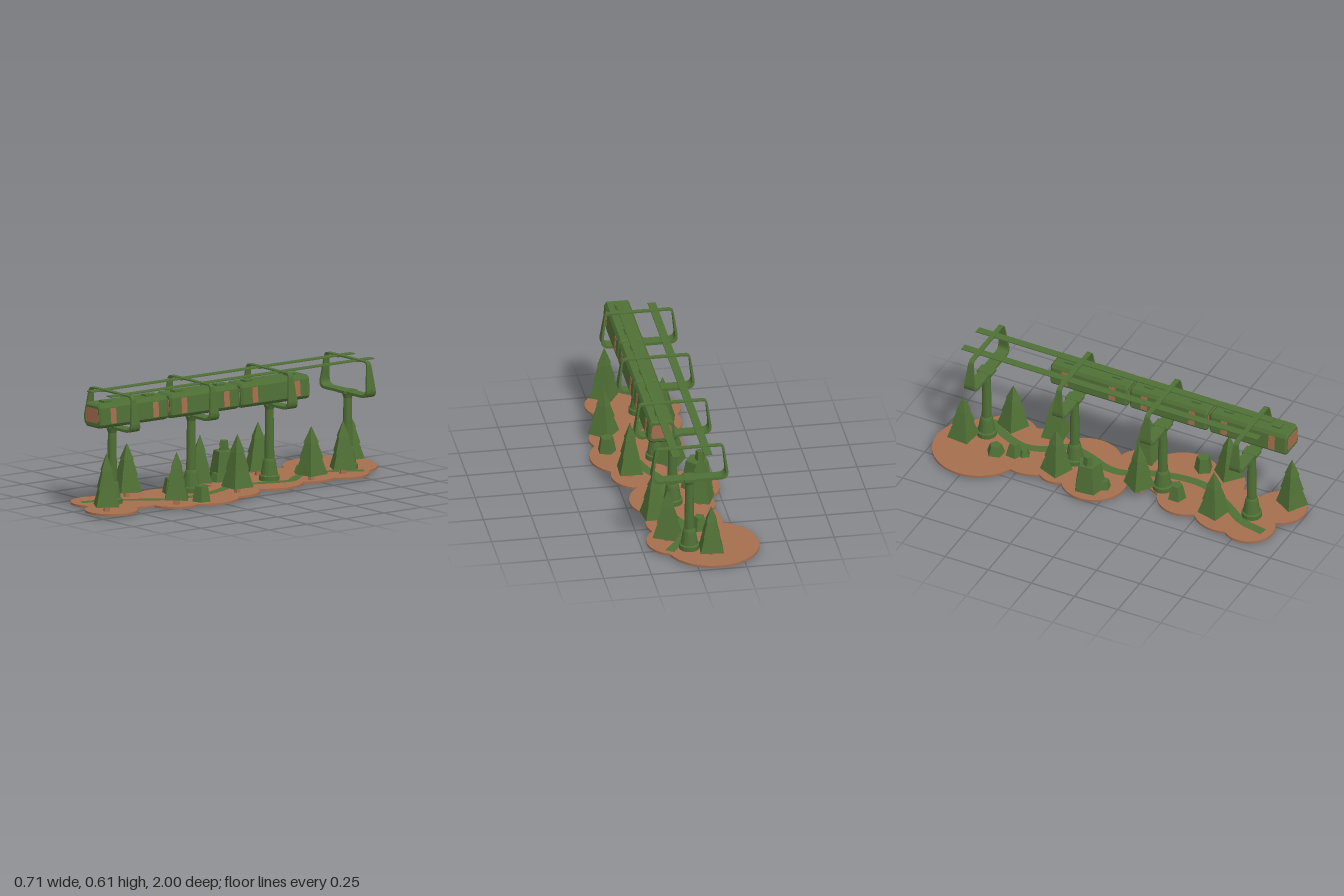
import * as THREE from 'three';

const green = new THREE.MeshStandardMaterial({ color: 0x4f6f35, flatShading: true });
green.name = 'green';
const brown = new THREE.MeshStandardMaterial({ color: 0xa56e4e, flatShading: true });
brown.name = 'brown';

const TOP = 0.02; // ground surface height

function add(parent, name, geometry, material, x = 0, y = 0, z = 0) {
  const m = new THREE.Mesh(geometry, material);
  m.name = name;
  m.position.set(x, y, z);
  parent.add(m);
  return m;
}
function group(parent, name, x = 0, y = 0, z = 0) {
  const g = new THREE.Group();
  g.name = name;
  g.position.set(x, y, z);
  parent.add(g);
  return g;
}
const box = (w, h, d) => new THREE.BoxGeometry(w, h, d);
const outline = (pts) => pts.map(([x, y]) => new THREE.Vector2(x, y));
// Mirrors a half profile (listed bottom to top on +x) into a closed outline
const mirrored = (pts) => outline([...pts, ...pts.slice().reverse().map(([x, y]) => [-x, y])]);

// Round patches of earth that overlap into an island
function buildGround(root) {
  const g = group(root, 'ground');
  const patches = [
    [-0.11, -0.755, 0.245], [0.06, -0.68, 0.16], [-0.01, -0.48, 0.2], [-0.1, -0.3, 0.105],
    [0.03, -0.22, 0.2], [-0.09, -0.1, 0.172], [0.12, 0.075, 0.155], [0.15, 0.29, 0.2],
    [0, 0.39, 0.155], [0, 0.64, 0.19], [0.19, 0.49, 0.13], [-0.075, 0.79, 0.137], [0.14, 0.863, 0.137],
  ];
  for (const [x, z, r] of patches)
    add(g, 'earthPatch', new THREE.CylinderGeometry(r, r, 0.012, 40), brown, x, TOP - 0.006, z);
}

// Winding flat ribbon along the ground
function buildPath(root) {
  const curve = new THREE.CatmullRomCurve3([
    [-0.092, 0.88], [-0.06, 0.74], [0.02, 0.62], [0.12, 0.45], [0.13, 0.3], [0.09, 0.13], [0.03, 0],
    [0.03, -0.09], [0.08, -0.22], [0.1, -0.34], [0.03, -0.44], [0, -0.55], [0.04, -0.68], [0.12, -0.8],
  ].map(([x, z]) => new THREE.Vector3(x, TOP + 0.002, z)));
  const pos = [], index = [], n = 60;
  for (let i = 0; i <= n; i++) {
    const p = curve.getPoint(i / n), t = curve.getTangent(i / n);
    for (const s of [-0.025, 0.025]) pos.push(p.x - t.z * s, p.y, p.z + t.x * s);
    if (i < n) {
      const a = i * 2;
      index.push(a, a + 1, a + 2, a + 1, a + 3, a + 2);
    }
  }
  const geo = new THREE.BufferGeometry();
  geo.setAttribute('position', new THREE.Float32BufferAttribute(pos, 3));
  geo.setIndex(index);
  geo.computeVertexNormals();
  const mat = green.clone();
  mat.name = 'greenPath';
  mat.side = THREE.DoubleSide;
  add(root, 'path', geo, mat);
}

// Trees: trunk and three stacked four-sided tiers
function buildTree(root, x, z, height, turn) {
  const g = group(root, 'tree', x, 0, z);
  g.rotation.y = turn;
  add(g, 'trunk', new THREE.CylinderGeometry(0.014, 0.02, 0.07, 5), brown, 0, 0.035, 0);
  const h = (height - 0.05) / 3;
  [[0.055, 0.085], [0.034, 0.062], [0.001, 0.04]].forEach(([rt, rb], i) =>
    add(g, 'foliageTier', new THREE.CylinderGeometry(rt, rb, h, 4), green, 0, 0.05 + h * (i + 0.5), 0));
}

// Rocks: five-sided tapered blocks
function rock(root, x, z, base, top, height, y = TOP, turn = 0) {
  add(root, 'rock', new THREE.CylinderGeometry(top, base, height, 5), green, x, y + height / 2, z).rotation.y = turn;
}

// Column with a rounded loop frame that thins toward the top
function buildPylon(root, z) {
  const g = group(root, 'pylon', 0.013, 0, z);
  const profile = outline([
    [0, 0.02], [0.053, 0.02], [0.053, 0.045], [0.045, 0.05], [0.034, 0.12], [0.03, 0.132],
    [0.026, 0.135], [0.022, 0.393], [0.031, 0.418], [0, 0.425],
  ]);
  add(g, 'column', new THREE.LatheGeometry(profile, 16), green);
  const rounded = (b, t, y0, y1, rb, rt, Kind) => {
    const s = new Kind();
    s.moveTo(-b + rb, y0).lineTo(b - rb, y0);
    s.quadraticCurveTo(b + 0.004, y0, b, y0 + rb);
    s.lineTo(t, y1 - rt).quadraticCurveTo(t - 0.003, y1, t - rt, y1);
    s.lineTo(-t + rt, y1).quadraticCurveTo(-t + 0.003, y1, -t, y1 - rt);
    s.lineTo(-b, y0 + rb).quadraticCurveTo(-b - 0.004, y0, -b + rb, y0);
    return s;
  };
  const shape = rounded(0.2, 0.183, 0.418, 0.608, 0.045, 0.026, THREE.Shape);
  shape.holes.push(rounded(0.187, 0.174, 0.432, 0.601, 0.036, 0.02, THREE.Path));
  const geo = new THREE.ExtrudeGeometry(shape, { depth: 1, bevelEnabled: false, curveSegments: 6 });
  const p = geo.attributes.position;
  for (let i = 0; i < p.count; i++) {
    const k = THREE.MathUtils.clamp((p.getY(i) - 0.43) / 0.17, 0, 1);
    p.setZ(i, (p.getZ(i) - 0.5) * THREE.MathUtils.lerp(0.064, 0.026, k));
  }
  geo.computeVertexNormals();
  add(g, 'loopFrame', geo, green);
  add(g, 'collar', box(0.06, 0.014, 0.085), green, 0, 0.427, 0);
  for (const x of [-0.083, 0.083])
    add(g, 'railClamp', box(0.04, 0.008, 0.03), green, x, 0.599, 0);
}

// Suspended carriages
const bodyHalf = [[0.05, 0.453], [0.064, 0.46], [0.073, 0.472], [0.066, 0.56], [0.055, 0.578]];
function buildCar(root, z) {
  const g = group(root, 'carriage', 0.095, 0, z);
  const len = 0.447, bevel = 0.01;
  const geo = new THREE.ExtrudeGeometry(new THREE.Shape(mirrored(bodyHalf)), {
    depth: len - 2 * bevel, bevelThickness: bevel, bevelSize: bevel, bevelOffset: -bevel, bevelSegments: 1,
  });
  add(g, 'body', geo, green, 0, 0, -len / 2 + bevel);
  for (const s of [-1, 1]) {
    for (const dz of [-0.138, 0.138])
      add(g, 'door', box(0.004, 0.08, 0.036), brown, s * 0.0697, 0.516, dz).rotation.z = s * 0.0794;
    add(g, 'hanger', box(0.042, 0.01, 0.05), green, 0, 0.582, s * 0.138);
  }
  return g;
}

// End windows with cut corners
const windowHalf = [[0.046, 0.48], [0.055, 0.49], [0.05, 0.545], [0.041, 0.555]];
function endWindow(car, side) {
  const geo = new THREE.ExtrudeGeometry(new THREE.Shape(mirrored(windowHalf)), { depth: 0.004, bevelEnabled: false });
  add(car, 'endWindow', geo, brown, 0, 0, side * 0.2235 - 0.002);
}

export function createModel() {
  const root = new THREE.Group();
  root.name = 'hangingRailway';
  buildGround(root);
  buildPath(root);

  [0.76, 0.245, -0.265, -0.775].forEach((z) => buildPylon(root, z));
  add(root, 'leftRail', box(0.042, 0.005, 1.715), green, 0.096, 0.602, -0.013);
  add(root, 'rightRail', box(0.042, 0.005, 1.715), green, -0.07, 0.602, -0.013);

  const cars = [0.73, 0.268, -0.193].map((z) => buildCar(root, z));
  cars.forEach((c) => [-1, 1].forEach((s) => endWindow(c, s)));
  for (const z of [0.499, 0.0375])
    add(root, 'coupling', box(0.09, 0.08, 0.04), green, 0.095, 0.515, z);

  [
    [-0.088, -0.86, 0.295, 0.7], [0.11, -0.67, 0.3, 0.3], [0.14, -0.44, 0.3, 0.9], [-0.128, -0.3, 0.3, 0.4],
    [0.177, 0.07, 0.325, 0.75], [-0.048, 0.14, 0.295, 0.2], [0.24, 0.515, 0.295, 0.1],
    [-0.083, 0.59, 0.3, 0.55], [0.167, 0.915, 0.325, 0.25],
  ].forEach((t) => buildTree(root, ...t));

  // Large stacked rock and the smaller scattered ones
  rock(root, -0.145, -0.1, 0.088, 0.062, 0.152, TOP, 0.4);
  rock(root, -0.16, -0.1, 0.028, 0.022, 0.052, 0.17);
  rock(root, -0.12, -0.03, 0.04, 0.028, 0.045, TOP, 0.8);
  rock(root, -0.025, 0.345, 0.05, 0.032, 0.08, TOP, 0.3);
  rock(root, 0.25, 0.36, 0.05, 0.035, 0.08, TOP, 0.9);
  rock(root, -0.075, -0.57, 0.048, 0.028, 0.07, TOP, 0.2);
  rock(root, -0.11, -0.66, 0.05, 0.032, 0.05, TOP, 0.6);
  rock(root, -0.06, -0.52, 0.034, 0.02, 0.035, TOP, 1);
  return root;
}
